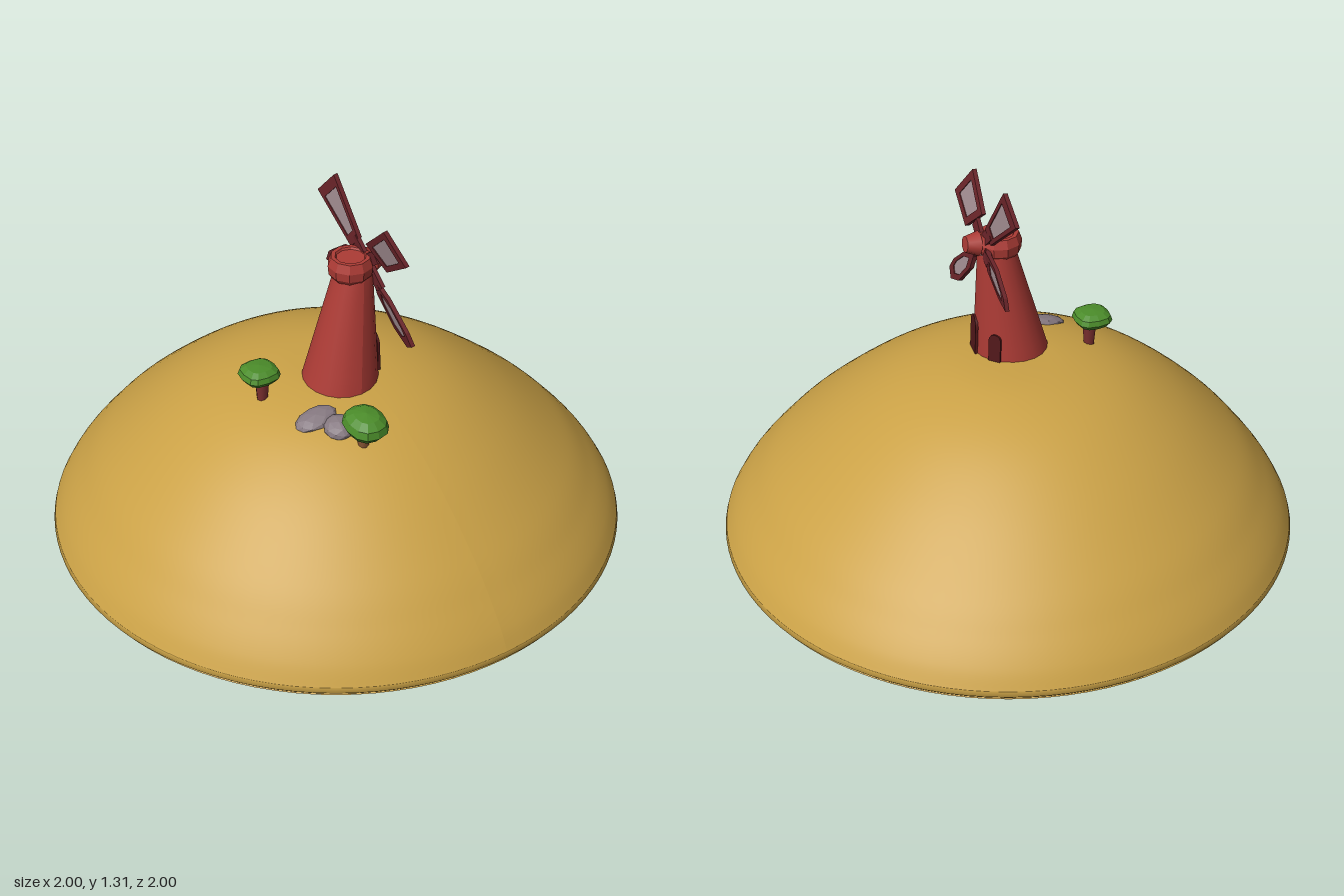
import * as THREE from 'three';

const mat = (name, color, side = THREE.FrontSide, flatShading = false) => {
  const m = new THREE.MeshStandardMaterial({ color, side, flatShading });
  m.name = name;
  return m;
};

export function createModel() {
  const root = new THREE.Group();
  root.name = 'windmillHill';

  const sand = mat('sand', 0xcaa146, THREE.DoubleSide);
  const red = mat('brickRed', 0xac3b35);
  const darkRed = mat('darkRed', 0x6a2429);
  const cloth = mat('sailCloth', 0xa38e92);
  const doorMat = mat('doorMaroon', 0x51181a);
  const green = mat('leafGreen', 0x4b8c2a, THREE.FrontSide, true);
  const bark = mat('bark', 0x8a5634);
  const redBark = mat('redBark', 0x7c3030);
  const stone = mat('stone', 0x857880, THREE.FrontSide, true);

  const add = (parent, name, geo, material, x = 0, y = 0, z = 0) => {
    const m = new THREE.Mesh(geo, material);
    m.name = name;
    m.position.set(x, y, z);
    parent.add(m);
    return m;
  };
  const v2 = (list) => list.map(([x, y]) => new THREE.Vector2(x, y));

  // Hollow hill: a smooth open shell, fuller towards -x and +z, leaner towards +x
  const slope = new THREE.SplineCurve(v2([
    [0.995, 0.04], [0.96, 0.1], [0.9, 0.175], [0.8, 0.28], [0.6, 0.444],
    [0.4, 0.564], [0.2, 0.627], [0, 0.642],
  ]));
  const slopePts = slope.getPoints(48);
  slopePts[slopePts.length - 1].x = 0;
  const hillGeo = new THREE.LatheGeometry(slopePts, 96);
  const hp = hillGeo.attributes.position;
  for (let i = 0; i < hp.count; i++) {
    const x = hp.getX(i), z = hp.getZ(i), r = Math.hypot(x, z);
    const u = THREE.MathUtils.clamp((r - 0.1) / 0.895, 0, 1);
    const fullness = r > 0 ? 0.01 + (0.009 * z - 0.022 * x) / r : 0;
    hp.setY(i, hp.getY(i) + fullness * Math.sin(Math.PI * u ** 1.3));
  }
  hillGeo.computeVertexNormals();
  add(root, 'hill', hillGeo, sand);

  // Low rim with a narrow lip turned inwards
  add(root, 'hillRim', new THREE.LatheGeometry(v2([[0.985, 0.006], [1, 0.022], [0.995, 0.04]]), 96), sand);
  add(root, 'hillLip', new THREE.LatheGeometry(v2([[0.955, 0.02], [0.985, 0.0]]), 96), sand);

  // Tower: tapered, its axis leaning so the sail side stands nearly upright
  const mill = new THREE.Group();
  mill.name = 'windmill';
  root.add(mill);
  const towerGeo = new THREE.CylinderGeometry(0.065, 0.132, 0.405, 20, 6, true);
  const p = towerGeo.attributes.position;
  for (let i = 0; i < p.count; i++) {
    const t = (p.getY(i) + 0.2025) / 0.405;
    p.setX(i, p.getX(i) - 0.053 * (1 - t));
  }
  towerGeo.computeVertexNormals();
  add(mill, 'tower', towerGeo, red, 0, 0.8175, 0.1);

  // Cap: flared ring with a flat, slightly sunken top
  const capProfile = v2([
    [0.055, 0], [0.074, 0.025], [0.077, 0.055], [0.066, 0.085], [0.052, 0.085], [0.048, 0.078], [0, 0.078],
  ]);
  const cap = new THREE.LatheGeometry(capProfile, 10).toNonIndexed();
  cap.computeVertexNormals();
  add(mill, 'cap', cap, red, -0.01, 1.0, 0.1);

  // Arched plates set against the leaning tower wall at a given bearing
  const archPlate = (name, angle, y, halfWidth, height) => {
    const arch = new THREE.Shape();
    arch.moveTo(-halfWidth, 0);
    arch.lineTo(halfWidth, 0);
    arch.absarc(0, height - halfWidth, halfWidth, 0, Math.PI, false);
    const geo = new THREE.ExtrudeGeometry(arch, { depth: 0.009, bevelEnabled: false }).rotateY(Math.PI / 2);
    const t = (y - 0.615) / 0.405;
    const r = 0.132 - 0.067 * t - 0.004;
    const plate = add(mill, name, geo, doorMat,
      r * Math.cos(angle) - 0.053 * (1 - t), y, 0.1 + r * Math.sin(angle));
    plate.rotation.order = 'YXZ';
    plate.rotation.y = -angle;
    plate.rotation.z = 0.165 - 0.131 * Math.cos(angle);
  };
  archPlate('door', 0.15, 0.625, 0.036, 0.145);
  archPlate('backWindow', -0.75, 0.64, 0.022, 0.1);

  // Rotor: axle, knob and four uneven sails, leaning back a little
  const rotor = new THREE.Group();
  rotor.name = 'rotor';
  rotor.position.set(0.048, 1.05, 0.11);
  rotor.rotation.z = 0.12;
  mill.add(rotor);
  const axle = add(rotor, 'axle', new THREE.CylinderGeometry(0.024, 0.024, 0.07, 10), darkRed);
  axle.rotation.z = Math.PI / 2;
  const knob = add(rotor, 'hubKnob', new THREE.CylinderGeometry(0.028, 0.043, 0.046, 10), red, 0.038);
  knob.rotation.z = -Math.PI / 2;

  const extrudeX = (shape, depth) =>
    new THREE.ExtrudeGeometry(shape, { depth, bevelEnabled: false })
      .translate(0, 0, -depth / 2).rotateY(Math.PI / 2);

  // Sail outlines seen from the sail side, measured from the hub, with panel scale
  const sails = [
    [0.68, [[0.035, 0.07], [0.07, 0.025], [0.235, 0.17], [0.155, 0.257]]],
    [0.66, [[-0.03, 0.09], [-0.15, 0.2], [-0.225, 0.09], [-0.11, 0.01]]],
    [0.62, [[0.05, 0.0], [0.07, -0.07], [0.18, -0.115], [0.25, -0.125], [0.235, -0.085], [0.15, -0.02]]],
    [0.62, [[-0.03, -0.055], [-0.12, -0.09], [-0.215, -0.17], [-0.24, -0.212], [-0.2, -0.238], [-0.12, -0.205], [-0.04, -0.115]]],
  ];
  sails.forEach(([panelScale, outline], i) => {
    const pts = v2(outline);
    const mid = pts.reduce((s, q) => s.add(q), new THREE.Vector2()).divideScalar(pts.length);
    const inner = pts.map((q) => q.clone().sub(mid).multiplyScalar(panelScale).add(mid));
    const frame = new THREE.Shape(pts);
    frame.holes.push(new THREE.Path(inner));
    // Pitch: lean each sail across its own length
    const along = mid.clone().normalize();
    const pitch = (geo) => {
      const a = geo.attributes.position;
      for (let k = 0; k < a.count; k++) {
        const across = -a.getZ(k) * along.y - a.getY(k) * along.x;
        a.setX(k, a.getX(k) - across * 0.17);
      }
      geo.computeVertexNormals();
      return geo;
    };
    const sail = new THREE.Group();
    sail.name = `sail${i + 1}`;
    rotor.add(sail);
    add(sail, 'sailFrame', pitch(extrudeX(frame, 0.015)), darkRed);
    add(sail, 'sailPanel', pitch(extrudeX(new THREE.Shape(inner), 0.009)), cloth);
    const len = mid.length() * 0.5;
    const arm = add(sail, 'sailArm', new THREE.BoxGeometry(0.014, len, 0.045), darkRed,
      0, along.y * len / 2, -along.x * len / 2);
    arm.rotation.x = Math.atan2(-along.x, along.y);
  });

  // Trees: faceted flattened crowns, squarish from above, on short flaring trunks
  const tree = (name, x, z, base, crownY, size, trunkMat, shift, square) => {
    const g = new THREE.Group();
    g.name = name;
    root.add(g);
    const h = crownY - base;
    add(g, 'trunk', new THREE.CylinderGeometry(0.027, 0.018, h, 8), trunkMat, x + 0.01, base + h / 2, z + shift);
    const geo = new THREE.SphereGeometry(1, 12, 6);
    const a = geo.attributes.position;
    for (let k = 0; k < a.count; k++) {
      const soften = (v) => Math.sign(v) * Math.abs(v) ** square;
      const drop = a.getY(k) < 0 ? 1 + 0.25 * a.getY(k) : 1;
      a.setXYZ(k, soften(a.getX(k)) * drop, a.getY(k), soften(a.getZ(k)) * drop);
    }
    const crown = add(g, 'crown', geo, green, x, crownY, z);
    crown.scale.set(...size);
    return crown;
  };
  tree('farTree', -0.332, 0.042, 0.602, 0.708, [0.065, 0.036, 0.065], redBark, 0, 0.7);
  const bush = tree('nearTree', -0.167, 0.42, 0.56, 0.665, [0.07, 0.05, 0.08], bark, -0.025, 0.85);
  bush.rotation.x = 0.12;

  // Rocks: two flat stones half sunk into the slope
  [[-0.238, 0.238, 0.606, 0.076, 0.022, 0.046, 0], [-0.195, 0.31, 0.598, 0.05, 0.03, 0.052, 0.4]]
    .forEach(([x, z, y, sx, sy, sz, turn], i) => {
      const rock = add(root, `rock${i + 1}`, new THREE.IcosahedronGeometry(1, 1), stone, x, y, z);
      rock.scale.set(sx, sy, sz);
      rock.rotation.set(0.2, turn, 0.2);
    });

  return root;
}
